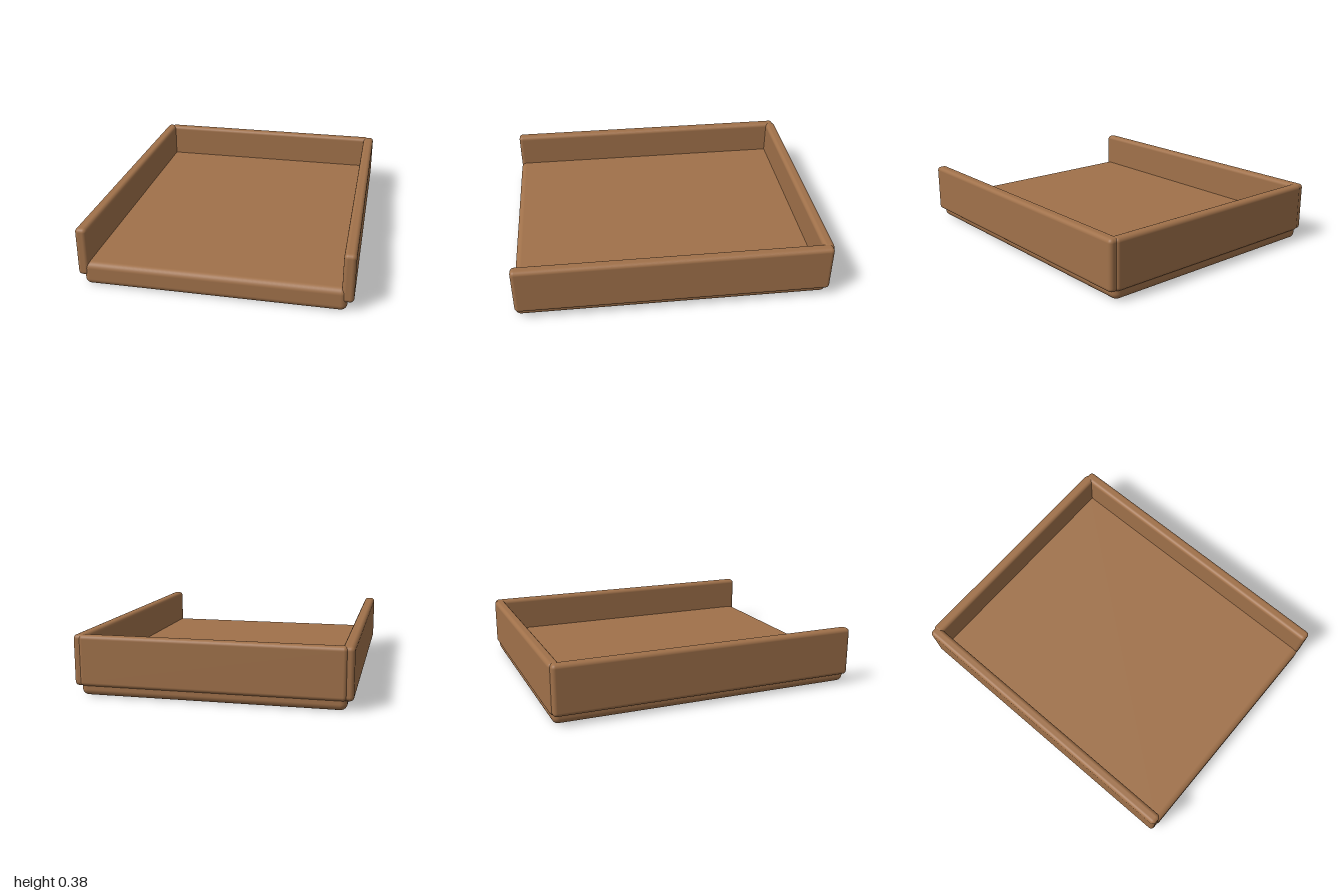
import * as THREE from 'three';
import { RoundedBoxGeometry } from 'three/addons/geometries/RoundedBoxGeometry.js';

export function createModel() {
  const group = new THREE.Group();
  const wood = new THREE.MeshStandardMaterial({ color: 0xa0714a });

  // Rounded slab given by its minimum and maximum corners
  function slab(name, min, max, radius) {
    const size = max.map((v, i) => v - min[i]);
    const mesh = new THREE.Mesh(new RoundedBoxGeometry(...size, 4, radius), wood);
    mesh.position.set(...max.map((v, i) => (v + min[i]) / 2));
    mesh.name = name;
    group.add(mesh);
  }

  // Thick floor of the tray
  slab('base', [-0.805, 0, -0.985], [0.805, 0.15, 1], 0.04);

  // Back wall, between the side walls
  slab('backWall', [-0.805, 0.06, -1], [0.805, 0.375, -0.93], 0.025);

  // Side walls, open at the front
  slab('leftWall', [0.77, 0.06, -0.99], [0.843, 0.375, 0.997], 0.025);
  slab('rightWall', [-0.843, 0.06, -0.99], [-0.77, 0.375, 0.997], 0.025);

  return group;
}
